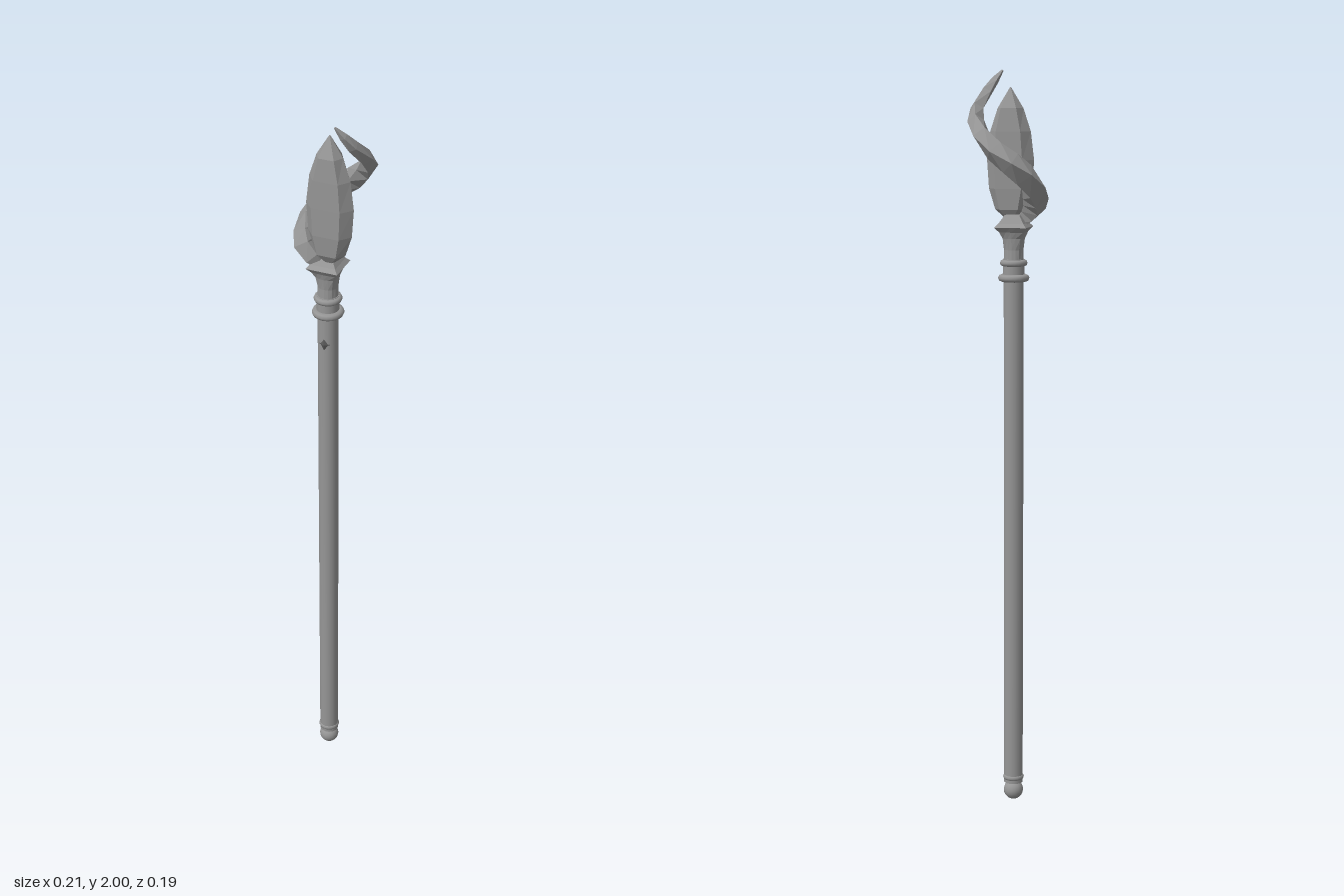
import * as THREE from 'three';

const flat = new THREE.MeshStandardMaterial({ color: 0x969696, flatShading: true, side: THREE.DoubleSide });
const smooth = new THREE.MeshStandardMaterial({ color: 0x969696 });
const dark = new THREE.MeshStandardMaterial({ color: 0x5a5a5a, flatShading: true });
const AX = -0.01, AZ = 0.028; // axis of the shaft

function add(group, name, geometry, material, x = 0, y = 0, z = 0) {
  const mesh = new THREE.Mesh(geometry, material);
  mesh.name = name;
  mesh.position.set(x, y, z);
  group.add(mesh);
  return mesh;
}

// Skin through rings of equal point count, with both ends closed
function loft(rings) {
  const n = rings[0].length, pos = [], idx = [];
  rings.forEach(ring => ring.forEach(p => pos.push(p.x, p.y, p.z)));
  for (let i = 0; i < rings.length - 1; i++) {
    for (let j = 0; j < n; j++) {
      const a = i * n + j, b = i * n + (j + 1) % n;
      idx.push(a, b, b + n, a, b + n, a + n);
    }
  }
  const last = (rings.length - 1) * n;
  for (let j = 1; j < n - 1; j++) idx.push(0, j + 1, j, last, last + j, last + j + 1);
  const g = new THREE.BufferGeometry();
  g.setAttribute('position', new THREE.Float32BufferAttribute(pos, 3));
  g.setIndex(idx);
  const out = g.toNonIndexed();
  out.computeVertexNormals();
  return out;
}

// Neck that blends from a round foot to a square flared cap
function neckGeometry() {
  // height, half width, squareness
  const rows = [[1.49, 0.027, 0], [1.53, 0.026, 0.1], [1.56, 0.029, 0.4], [1.577, 0.034, 0.8],
    [1.59, 0.043, 1], [1.6, 0.034, 1], [1.622, 0.02, 1]];
  return loft(rows.map(([y, r, sq]) => Array.from({ length: 16 }, (_, i) => {
    const a = i / 16 * Math.PI * 2, s = Math.sin(a), c = Math.cos(a);
    const k = r * (1 + sq * (1 / Math.max(Math.abs(s), Math.abs(c)) - 1));
    return new THREE.Vector3(AX + s * k, y, AZ + c * k);
  })));
}

// Leaf-shaped gem with flat faces and bevelled sides
function crystalGeometry() {
  // height, half width, half depth
  const rows = [[1.612, 0.015, 0.01], [1.635, 0.042, 0.024], [1.69, 0.059, 0.029], [1.765, 0.064, 0.03],
    [1.84, 0.055, 0.029], [1.9, 0.035, 0.025], [1.955, 0.001, 0.001]];
  const section = [[-0.6, 1], [0.6, 1], [1, 0], [0.6, -1], [-0.6, -1], [-1, 0]];
  return loft(rows.map(([y, w, d]) =>
    section.map(([x, z]) => new THREE.Vector3(0.003 + x * w, y, 0.045 + z * d))));
}

// Diamond-section blade winding up around the gem
function bladeGeometry() {
  // x, y, z, half radial width, half height
  const path = [[-0.015, 1.59, 0.03, 0.018, 0.016], [-0.042, 1.618, 0.045, 0.027, 0.026],
    [-0.064, 1.642, 0.038, 0.033, 0.032], [-0.072, 1.665, 0.018, 0.034, 0.034],
    [-0.073, 1.695, -0.011, 0.034, 0.035], [-0.056, 1.73, -0.045, 0.033, 0.034],
    [-0.024, 1.761, -0.067, 0.03, 0.031], [0.019, 1.793, -0.069, 0.028, 0.029],
    [0.058, 1.833, -0.05, 0.025, 0.027], [0.082, 1.868, -0.016, 0.022, 0.024],
    [0.087, 1.9, 0.017, 0.019, 0.02], [0.07, 1.942, 0.058, 0.015, 0.016],
    [0.053, 1.972, 0.077, 0.011, 0.011], [0.035, 1.998, 0.088, 0.003, 0.003]];
  const pts = path.map(p => new THREE.Vector3(p[0], p[1], p[2]));
  return loft(pts.map((p, i) => {
    const t = pts[Math.min(i + 1, pts.length - 1)].clone().sub(pts[Math.max(i - 1, 0)]).normalize();
    const r = new THREE.Vector3(p.x, 0, p.z).normalize();
    r.addScaledVector(t, -r.dot(t)).normalize();
    const u = t.clone().cross(r), [, , , w, h] = path[i];
    return [[w, 0], [0, h], [-w, 0], [0, -h]].map(([a, b]) =>
      p.clone().addScaledVector(r, a).addScaledVector(u, b));
  }));
}

export function createModel() {
  const staff = new THREE.Group();
  staff.name = 'staff';

  // Shaft and pommel
  add(staff, 'shaft', new THREE.CylinderGeometry(0.027, 0.026, 1.45, 16), smooth, AX, 0.775, AZ);
  add(staff, 'pommel', new THREE.SphereGeometry(0.027, 16, 12), smooth, AX, 0.027, AZ);

  // Rings: height, tube centre radius, tube radius
  const rings = [['pommelRing', 0.065, 0.021, 0.008], ['lowerCollar', 1.455, 0.032, 0.01],
    ['upperCollar', 1.495, 0.028, 0.009]];
  for (const [name, y, r, tube] of rings) {
    add(staff, name, new THREE.TorusGeometry(r, tube, 8, 20), smooth, AX, y, AZ).rotation.x = Math.PI / 2;
  }
  add(staff, 'collarCore', new THREE.CylinderGeometry(0.029, 0.029, 0.06, 16), smooth, AX, 1.475, AZ);

  // Small inlaid stud on the front of the shaft
  add(staff, 'stud', new THREE.OctahedronGeometry(1), dark, AX, 1.37, AZ + 0.023).scale.set(0.014, 0.032, 0.008);

  // Head
  add(staff, 'neck', neckGeometry(), flat);
  add(staff, 'crystal', crystalGeometry(), flat);
  add(staff, 'spiralBlade', bladeGeometry(), flat);
  return staff;
}
